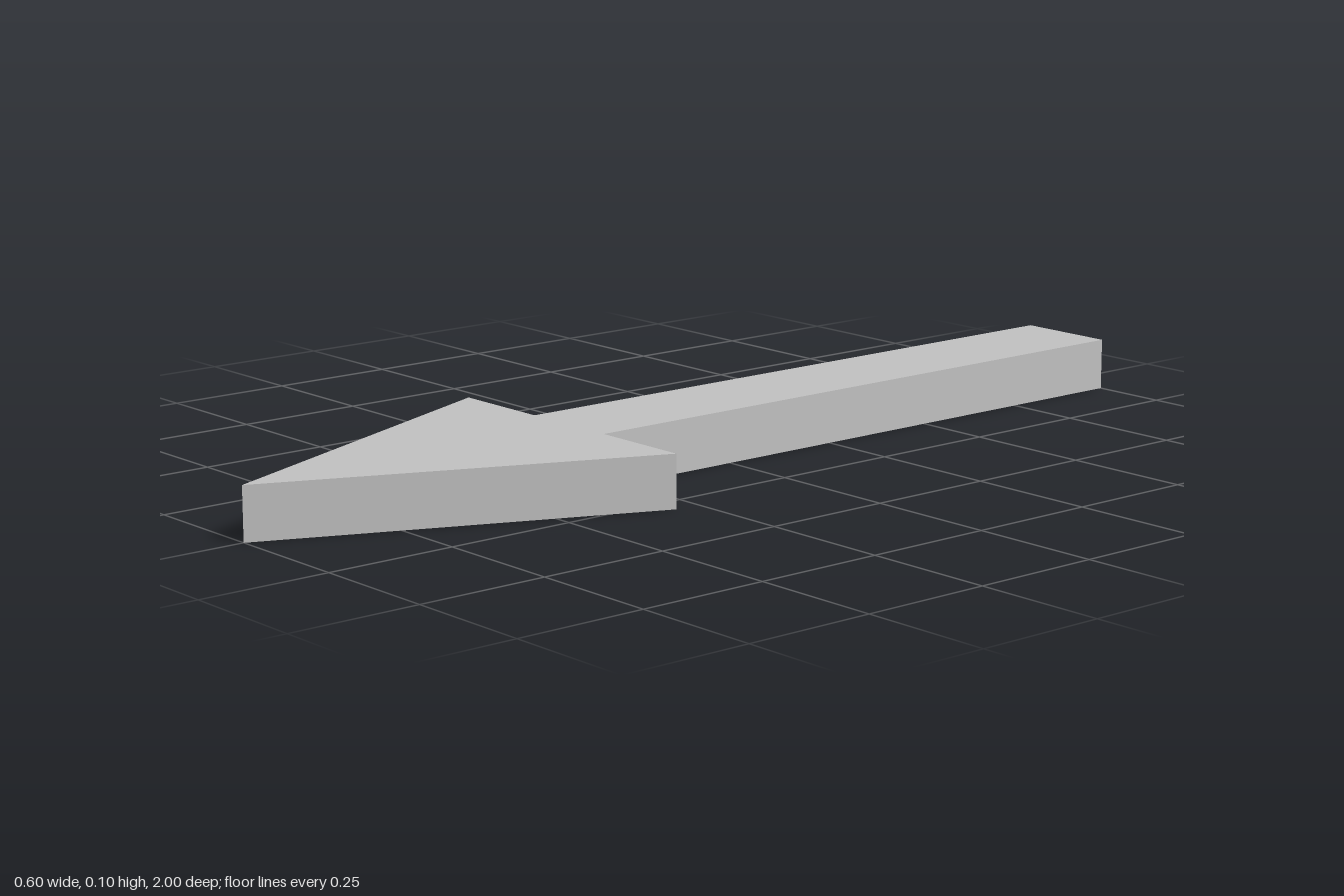
import * as THREE from 'three';

const THICKNESS = 0.1;
const SHAFT_HALF = 0.1;
const HEAD_HALF = 0.3;
const HEAD_BASE = 0.3; // z where the head meets the shaft

export function createModel() {
  const group = new THREE.Group();
  group.name = 'arrow';
  const grey = new THREE.MeshStandardMaterial({ color: 0xc0c0c0 });
  grey.name = 'light grey';

  // Flat arrow outline, shape y becomes model z
  const outline = new THREE.Shape([
    [-SHAFT_HALF, -1], [SHAFT_HALF, -1],
    [SHAFT_HALF, HEAD_BASE], [HEAD_HALF, HEAD_BASE],
    [0, 1],
    [-HEAD_HALF, HEAD_BASE], [-SHAFT_HALF, HEAD_BASE],
  ].map(([x, z]) => new THREE.Vector2(x, z)));

  // Extruded slab laid flat, pointing to the front
  const geometry = new THREE.ExtrudeGeometry(outline, { depth: THICKNESS, bevelEnabled: false });
  geometry.rotateX(Math.PI / 2);
  geometry.translate(0, THICKNESS, 0);

  const body = new THREE.Mesh(geometry, grey);
  body.name = 'arrowBody';
  group.add(body);
  return group;
}
